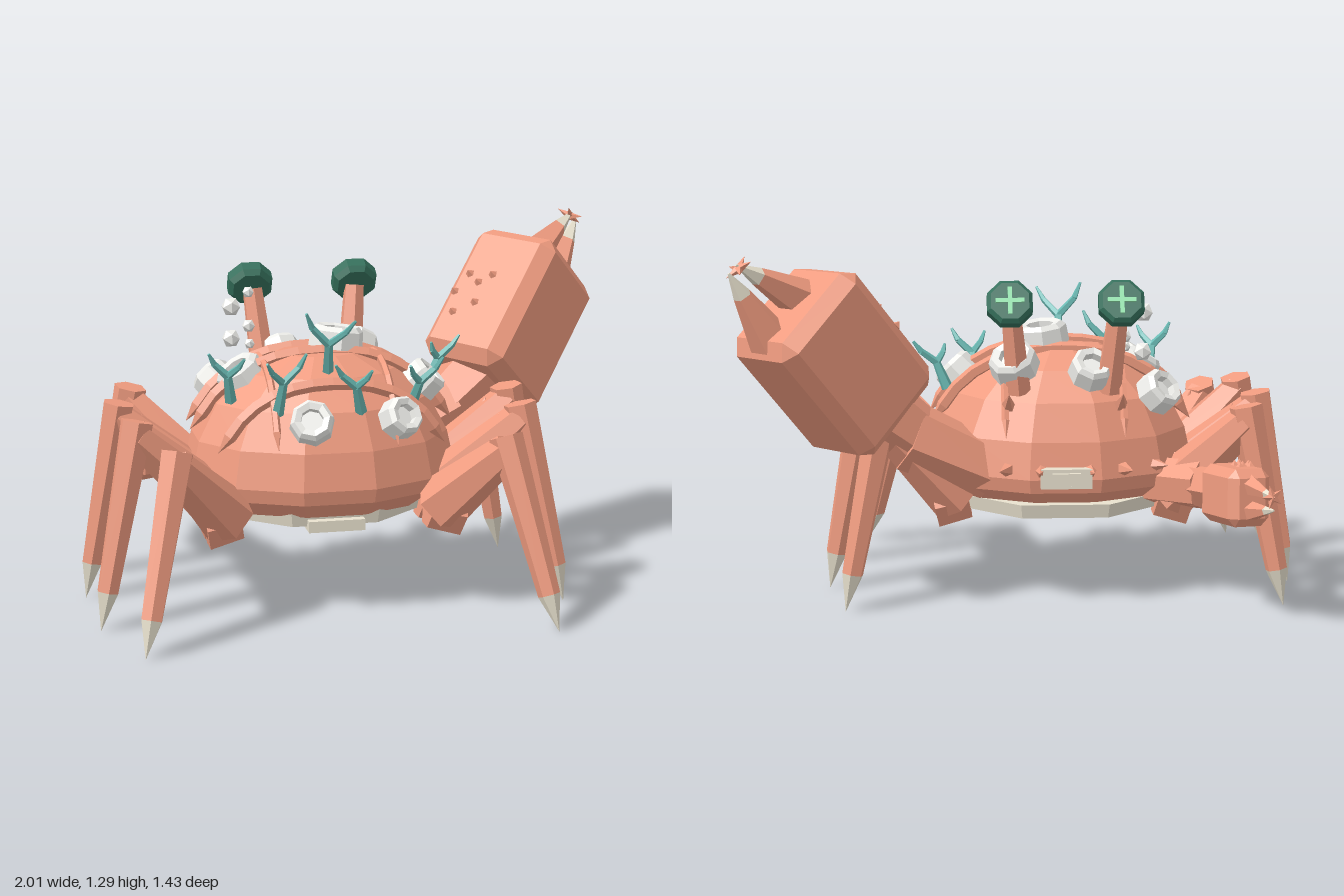
import * as THREE from 'three';
import { ConvexGeometry } from 'three/addons/geometries/ConvexGeometry.js';

const mat = (color) => new THREE.MeshStandardMaterial({ color, flatShading: true, side: THREE.DoubleSide });
const V = (x, y, z) => new THREE.Vector3(x, y, z);
const UP = V(0, 1, 0);
const CX = -0.14, CY = 0.43, CZ = 0.07, RX = 0.495, RY = 0.47, RZ = 0.4, EXP = 2.3;

export function createModel() {
  const model = new THREE.Group();
  const shellMat = mat(0xf09c80), bone = mat(0xe8e1ce), stone = mat(0xeeeeea);
  const eyeMat = mat(0x35705c), glow = mat(0x93e6ae), teal = mat(0x6abab4);

  const add = (name, geo, material, parent = model) => {
    const m = new THREE.Mesh(geo, material);
    m.name = name;
    parent.add(m);
    return m;
  };
  // Tapered prism from a to b
  const limb = (name, a, b, ra, rb, material, sides = 6, parent = model) => {
    const m = add(name, new THREE.CylinderGeometry(rb, ra, a.distanceTo(b), sides), material, parent);
    m.position.copy(a).lerp(b, 0.5);
    m.quaternion.setFromUnitVectors(UP, b.clone().sub(a).normalize());
    return m;
  };
  const spike = (name, p, dir, r, h, parent = model, sides = 5) =>
    limb(name, p, p.clone().addScaledVector(dir.clone().normalize(), h), r, 0, shellMat, sides, parent);
  // Outward direction of the shell at a point
  const outward = (p) => V((p.x - CX) / RX ** 2, (p.y - CY) / RY ** 2, (p.z - CZ) / RZ ** 2).normalize();
  const pw = (v) => Math.sign(v) * Math.abs(v) ** (2 / EXP);

  // Domed shell
  const profile = [[0, 0.36], [0.8, 0.36], [0.97, 0.42], [1, 0.47], [0.94, 0.6], [0.8, 0.73], [0.56, 0.83], [0.3, 0.89], [0, 0.9]];
  const shell = add('shell', new THREE.LatheGeometry(profile.map(([r, y]) => new THREE.Vector2(r, y)), 12, Math.PI / 12), shellMat);
  shell.scale.set(RX, 1, RZ);
  shell.position.set(CX, 0, CZ);

  // Ridges over the shell, side to side and front to back
  const ridge = (alongX, at) => {
    const u = alongX ? (at - CZ) / RZ : (at - CX) / RX;
    const w = (1 - Math.abs(u) ** EXP) ** (1 / EXP);
    const pts = [];
    for (let i = 0; i <= 10; i++) {
      const t = Math.PI * (0.17 + 0.066 * i), c = w * pw(Math.cos(t)), y = CY + RY * w * pw(Math.sin(t));
      pts.push(alongX ? V(CX + RX * c, y, at) : V(at, y, CZ + RZ * c));
    }
    const r = alongX ? 0.024 : 0.014;
    add('shellRidge', new THREE.TubeGeometry(new THREE.CatmullRomCurve3(pts), 12, r, 5), shellMat);
    for (const [a, b] of [[0, 1], [10, 9]]) spike('ridgeEnd', pts[a], pts[a].clone().sub(pts[b]), r, 0.07);
  };
  [-0.03, 0.12, 0.32].forEach((z) => ridge(true, z));
  [-0.35, 0.07].forEach((x) => ridge(false, x));

  // Belly plate, tail flap and mouth
  const belly = add('bellyPlate', new THREE.CylinderGeometry(1, 0.97, 0.05, 8, 1, false, Math.PI / 8), bone);
  belly.scale.set(0.41, 1, 0.36);
  belly.position.set(CX, 0.35, CZ - 0.03);
  add('tailFlap', new THREE.BoxGeometry(0.2, 0.04, 0.16), bone).position.set(CX, 0.33, 0.32);
  add('mouthPlate', new THREE.BoxGeometry(0.18, 0.07, 0.06), bone).position.set(CX, 0.48, -0.315);
  add('mouthInset', new THREE.BoxGeometry(0.1, 0.045, 0.03), bone).position.set(CX, 0.48, -0.345);

  // Spikes along the front rim and flanks
  for (const a of [-1.05, -0.75, -0.45, -0.18, 0.18, 0.45, 0.75, 1.05]) {
    const d = V(Math.sin(a), 0.1, -Math.cos(a));
    spike('rimSpike', V(CX + RX * 0.95 * d.x, 0.5, CZ + RZ * 0.95 * d.z), d, 0.026, 0.07);
  }
  for (const s of [-1, 1]) {
    spike('flankSpike', V(CX + s * 0.46, 0.44, 0.14), V(s, 0, 0), 0.045, 0.09, model, 4);
    spike('browSpike', V(CX + s * 0.2, 0.72, -0.23), V(0, 0.7, -1), 0.025, 0.1);
  }

  // Barnacles: hollow rings
  const ring = [[0.5, 0.1], [0.5, 0.8], [0.78, 0.9], [0.95, 0.65], [1, -0.3]].map(([r, y]) => new THREE.Vector2(r, y));
  const barnacles = [[-0.07, 0.94, 0.05, 0.1], [-0.43, 0.83, 0.09, 0.09], [0.24, 0.79, 0.13, 0.08], [-0.23, 0.71, 0.41, 0.08],
    [0.095, 0.71, 0.39, 0.075], [-0.49, 0.76, -0.15, 0.08], [-0.24, 0.85, -0.18, 0.08], [0.04, 0.87, -0.15, 0.09]];
  for (const [x, y, z, r] of barnacles) {
    const p = V(x, y, z), g = new THREE.Group();
    g.name = 'barnacle';
    g.position.copy(p);
    g.quaternion.setFromUnitVectors(UP, outward(p));
    g.scale.set(r, 0.065, r);
    add('barnacleRing', new THREE.LatheGeometry(ring, 8), stone, g);
    add('barnacleFloor', new THREE.CylinderGeometry(0.55, 0.55, 0.2, 8), stone, g).position.y = 0.25;
    g.translateY(-0.025);
    model.add(g);
  }

  // Branching corals: base, lean and height
  const corals = [[-0.14, 0.82, 0.23, -0.02, 0.14, 0.25], [-0.34, 0.73, 0.35, 0.02, 0.11, 0.22], [-0.05, 0.73, 0.37, -0.05, 0.1, 0.18],
    [0.15, 0.71, 0.26, 0.04, 0.11, 0.19], [-0.48, 0.75, 0.2, -0.03, 0.09, 0.18], [0.27, 0.74, 0.02, 0.07, 0.01, 0.17]];
  corals.forEach(([x, y, z, lx, lz, h], i) => {
    const g = new THREE.Group(), s = i % 2 ? 1 : -1;
    const tip = (k, sx) => V(x + lx * k + sx * h, y + h * k, z + lz * k - s * 0.4 * sx * h);
    g.name = 'coral';
    const fork = tip(0.55, 0);
    limb('coralStem', V(x, y, z), fork, 0.022, 0.015, teal, 5, g);
    limb('coralBranch', fork, tip(0.8, s * 0.22), 0.015, 0.012, teal, 5, g);
    limb('coralTip', tip(0.8, s * 0.22), tip(1.02, s * 0.3), 0.012, 0.005, teal, 5, g);
    limb('coralBranch', fork, tip(0.75, -s * 0.22), 0.014, 0.011, teal, 5, g);
    limb('coralTip', tip(0.75, -s * 0.22), tip(0.93, -s * 0.34), 0.011, 0.005, teal, 5, g);
    model.add(g);
  });

  // Bubbles
  for (const [x, y, z, r] of [[-0.43, 1.03, -0.09, 0.036], [-0.375, 1.09, -0.04, 0.022], [-0.36, 0.95, -0.13, 0.025],
    [-0.37, 0.9, -0.05, 0.02], [-0.42, 0.9, -0.16, 0.035]])
    add('bubble', new THREE.IcosahedronGeometry(r, 0), stone).position.set(x, y, z);

  // Eye stalks and eyes with glowing crosses
  for (const s of [-1, 1]) {
    limb('eyeStalk', V(CX + s * 0.16, 0.76, -0.16), V(CX + s * 0.19, 1.07, -0.22), 0.05, 0.038, shellMat);
    const eye = new THREE.Group();
    eye.name = 'eye';
    eye.position.set(CX + s * 0.195, 1.085, -0.245);
    eye.quaternion.setFromUnitVectors(UP, V(0, 0.5, -0.86).normalize());
    const dome = [[0, -0.035], [0.07, -0.035], [0.086, -0.015], [0.086, 0.025], [0.072, 0.038], [0, 0.038]];
    add('eyeball', new THREE.LatheGeometry(dome.map(([r, y]) => new THREE.Vector2(r, y)), 8, Math.PI / 8), eyeMat, eye);
    for (const k of [0, 1]) {
      const bar = add('eyeCross', new THREE.BoxGeometry(0.1, 0.012, 0.015), glow, eye);
      bar.position.y = 0.04;
      bar.rotation.y = k * Math.PI / 2;
    }
    model.add(eye);
  }

  // Walking legs: knee dx, y, z and tip dx, z
  const legs = [[0.65, 0.67, -0.25, 0.78, -0.31], [0.72, 0.67, 0.01, 0.845, 0], [0.69, 0.67, 0.31, 0.83, 0.39], [0.58, 0.61, 0.53, 0.715, 0.72]];
  for (const s of [-1, 1]) for (const [kx, ky, kz, tx, tz] of legs) {
    const leg = new THREE.Group();
    leg.name = s > 0 ? 'leftLeg' : 'rightLeg';
    const hip = V(CX + s * 0.38, 0.37, CZ + (kz - CZ) * 0.6), knee = V(CX + s * kx, ky, kz);
    const tip = V(CX + s * tx, 0, tz), ankle = knee.clone().lerp(tip, 0.8);
    limb('thigh', hip, knee, 0.105, 0.06, shellMat, 6, leg);
    limb('hipJoint', hip.clone().add(V(-s * 0.04, 0, 0)), hip.clone().add(V(s * 0.08, -0.025, 0)), 0.08, 0.09, shellMat, 6, leg);
    limb('shin', knee.clone().lerp(tip, -0.07), ankle, 0.06, 0.039, shellMat, 6, leg);
    limb('claw', ankle, tip, 0.039, 0, bone, 6, leg);
    spike('kneeSpike', hip.clone().lerp(knee, 0.7).add(V(0, 0.05, 0)), V(s * 0.3, 1, 0), 0.02, 0.05, leg);
    model.add(leg);
  }

  // Pincer: chamfered block, two fingers, bumps; local y points forward, z is the bumpy face
  const pincer = (name, center, axis, face, [w, l, h], c, { reach, drop, gap, bump }) => {
    const g = new THREE.Group();
    g.name = name;
    const y = axis.clone().normalize(), x = new THREE.Vector3().crossVectors(y, face).normalize();
    g.quaternion.setFromRotationMatrix(new THREE.Matrix4().makeBasis(x, y, new THREE.Vector3().crossVectors(x, y)));
    g.position.copy(center);
    const pts = [];
    for (const sx of [-1, 1]) for (const sy of [-1, 1]) for (const sz of [-1, 1])
      pts.push(V(sx * w, sy * (l - c), sz * (h - c)), V(sx * (w - c), sy * l, sz * (h - c)), V(sx * (w - c), sy * (l - c), sz * h));
    add('palm', new ConvexGeometry(pts), shellMat, g);
    for (const s of [-1, 1]) {
      const a = V(0, l * 0.85, s * h * 0.45 - drop * 0.5), b = V(0, l + reach, s * gap - drop), m = a.clone().lerp(b, 0.68);
      limb('finger', a, m, h * 0.38, h * 0.16, shellMat, 5, g);
      limb('fingerTip', m, b, h * 0.16, 0.004, bone, 5, g);
    }
    for (let i = 0; i < 5; i++) {
      const t = i * Math.PI * 0.4, d = V(Math.cos(t), 0.1, Math.sin(t));
      spike('tipSpike', V(0, l + reach * 0.93, gap - drop), d, 0.016, bump * 2.6, g, 4);
    }
    for (const [u, v] of [[-0.7, -0.1], [-0.25, 0.1], [-0.1, -0.2], [-0.5, -0.4], [0, 0.25], [-0.55, 0.2]])
      spike('palmBump', V(u * w, v * l, h * 0.98), V(0, 0, 1), bump, bump * 1.3, g);
    model.add(g);
  };

  // Large left pincer and its arm
  const bigAxis = V(0.53, 0.765, -0.37).normalize(), bigCenter = V(0.667, 0.9, -0.307);
  pincer('largePincer', bigCenter, bigAxis, V(-0.55, 0.68, 0.48), [0.18, 0.28, 0.21], 0.047,
    { reach: 0.25, drop: 0.075, gap: 0.02, bump: 0.021 });
  const elbow = V(0.41, 0.61, -0.19);
  limb('largeArm', V(0.12, 0.47, -0.14), elbow, 0.11, 0.13, shellMat);
  limb('largeWrist', elbow.clone().add(V(-0.07, -0.04, 0.02)), bigCenter.clone().addScaledVector(bigAxis, -0.2), 0.11, 0.14, shellMat);

  // Small right pincer and its arm
  pincer('smallPincer', V(-0.72, 0.445, -0.45), V(-0.33, 0.1, -0.92), V(-0.05, 1, 0), [0.08, 0.125, 0.1], 0.03,
    { reach: 0.15, drop: 0, gap: 0.022, bump: 0.016 });
  limb('smallArm', V(-0.42, 0.42, -0.08), V(-0.63, 0.43, -0.24), 0.09, 0.09, shellMat);
  limb('smallWrist', V(-0.62, 0.43, -0.22), V(-0.69, 0.44, -0.37), 0.085, 0.06, shellMat);
  return model;
}
